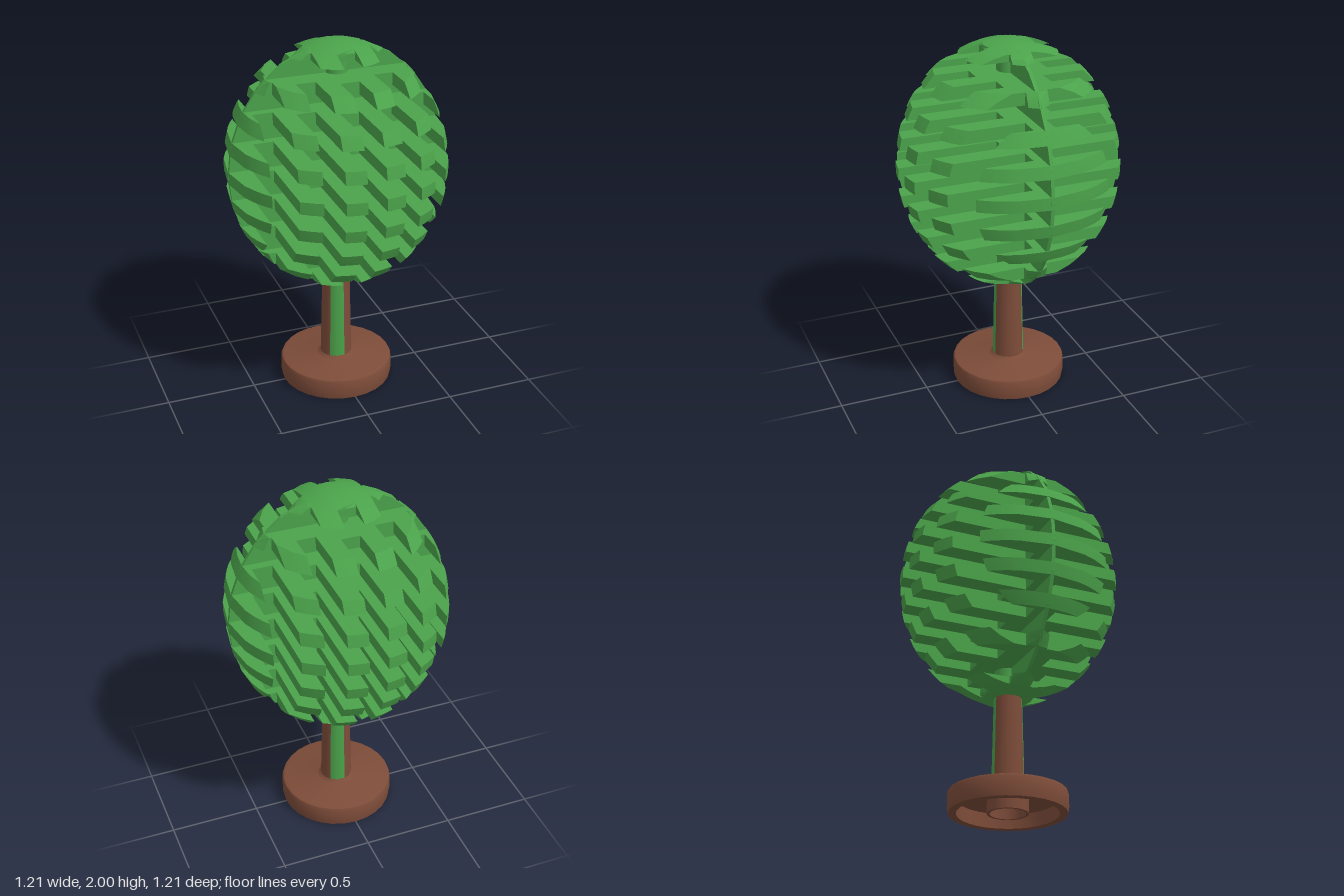
import * as THREE from 'three';
import { mergeGeometries, toCreasedNormals } from 'three/addons/utils/BufferGeometryUtils.js';

const CY = 1.315, RY = 0.685, RX = 0.605;   // crown ellipsoid
const EDGES = [-0.61, -0.48, -0.37, -0.265, -0.16, -0.0525, 0.0525, 0.16, 0.265, 0.37, 0.48, 0.61];

// Radius of the crown at height y
const crownRadius = (y) => RX * Math.sqrt(Math.max(0, 1 - ((y - CY) / RY) ** 2));

// Solid lofted through equal-length rings, listed bottom to top, counterclockwise from above
function loft(rings) {
  const n = rings[0].length, pos = [];
  const tri = (a, b, c) => pos.push(...a, ...b, ...c);
  for (let r = 0; r < rings.length - 1; r++) {
    const lo = rings[r], hi = rings[r + 1];
    for (let i = 0; i < n; i++) {
      const j = (i + 1) % n;
      tri(lo[i], lo[j], hi[j]);
      tri(lo[i], hi[j], hi[i]);
    }
  }
  const bottom = rings[0], top = rings[rings.length - 1];
  for (let i = 1; i < n - 1; i++) {
    tri(bottom[0], bottom[i + 1], bottom[i]);
    tri(top[0], top[i], top[i + 1]);
  }
  const geo = new THREE.BufferGeometry();
  geo.setAttribute('position', new THREE.Float32BufferAttribute(pos, 3));
  return toCreasedNormals(geo, 0.4);
}

// One bar along z: the crown between x0 and x1, cut off at |z| = limit
function bar(x0, x1, heights, limit) {
  const steps = Math.max(Math.abs(x0), Math.abs(x1)) > 0.5 ? 4 : 2;
  return loft(heights.map((y) => {
    const r = crownRadius(y), front = [], back = [];
    const a = THREE.MathUtils.clamp(x0, -r, r), b = THREE.MathUtils.clamp(x1, -r, r);
    for (let i = 0; i <= steps; i++) {
      const x = a + (b - a) * i / steps;
      const z = Math.min(limit, Math.sqrt(Math.max(0, r * r - x * x)));
      front.push([x, y, z]);
      back.unshift([x, y, -z]);
    }
    return [...front, ...back];
  }));
}

// One horizontal layer: long bars in every other column, short bridges between them
function layer(k) {
  const y = CY + k * 0.1627, h = 0.034, isCap = Math.abs(k) === 4;
  const heights = [];
  const steps = isCap ? 6 : 2;
  for (let i = 0; i <= steps; i++) {
    // cap layers are divided more finely towards the pole
    const t = isCap ? 1 - (1 - i / steps) ** 2 : i / steps;
    heights.push(y - h + 2 * h * t);
  }
  if (k === -4) heights.forEach((v, i) => { heights[i] = 2 * y - v; });
  heights.sort((a, b) => a - b);
  const widest = Math.max(...heights.map(crownRadius));
  const bridges = isCap ? [0.14, 0.06, 0.03] : [0.2, 0.13, 0.058];
  const parts = [];
  for (let c = 0; c < EDGES.length - 1; c++) {
    const x0 = EDGES[c], x1 = EDGES[c + 1];
    if (Math.min(Math.abs(x0), Math.abs(x1)) >= widest) continue;
    const limit = c % 2 === 0 ? Infinity : bridges[Math.abs(c - 5) / 2];
    parts.push(bar(x0, x1, heights, limit));
  }
  return mergeGeometries(parts);
}

export function createModel() {
  const model = new THREE.Group();
  model.name = 'slattedTree';
  const leafGreen = new THREE.MeshStandardMaterial({ color: 0x4ba34b });
  leafGreen.name = 'leafGreen';
  const barkBrown = new THREE.MeshStandardMaterial({ color: 0x7d4c39 });
  barkBrown.name = 'barkBrown';

  const add = (name, geo, mat, y = 0, parent = model) => {
    const mesh = new THREE.Mesh(geo, mat);
    mesh.name = name;
    mesh.position.y = y;
    parent.add(mesh);
    return mesh;
  };

  // Crown: nine layers of bars
  const crown = new THREE.Group();
  crown.name = 'crown';
  model.add(crown);
  for (let k = -4; k <= 4; k++) add('crownLayer', layer(k), leafGreen, 0, crown);

  // Thin upright plate that joins the layers
  const oval = new THREE.Shape();
  oval.absellipse(0, 0, RX, RY, 0, Math.PI * 2);
  const plate = new THREE.ExtrudeGeometry(oval, { depth: 0.02, bevelEnabled: false, curveSegments: 12 });
  plate.translate(0, 0, -0.01);
  add('centrePlate', plate, leafGreen, CY, crown);

  // Core: the trunk continued through the crown
  add('crownCore', new THREE.CylinderGeometry(0.06, 0.077, 1.35, 16), leafGreen, 1.315, crown);

  // Trunk: brown bark with a green strip at front and back
  const sector = (name, mat, start, sweep, segments) => {
    const rad = THREE.MathUtils.degToRad;
    const geo = new THREE.CylinderGeometry(0.077, 0.089, 0.53, segments, 1, true, rad(start), rad(sweep));
    add(name, geo, mat, 0.385);
  };
  for (const turn of [0, 180]) {
    sector('trunkStrip', leafGreen, turn - 43, 56, 2);
    sector('trunkBark', barkBrown, turn + 13, 124, 6);
  }

  // Base: round foot, hollow underneath, with a socket in the middle
  const profile = [
    [0, 0.08], [0.095, 0.08], [0.095, 0], [0.11, 0], [0.11, 0.08], [0.27, 0.08], [0.27, 0],
    [0.313, 0], [0.318, 0.03], [0.318, 0.1], [0.312, 0.115], [0.295, 0.122], [0.11, 0.124], [0.095, 0.132], [0.085, 0.145],
  ].map(([x, y]) => new THREE.Vector2(x, y));
  add('base', toCreasedNormals(new THREE.LatheGeometry(profile, 28), 0.6), barkBrown);

  return model;
}
